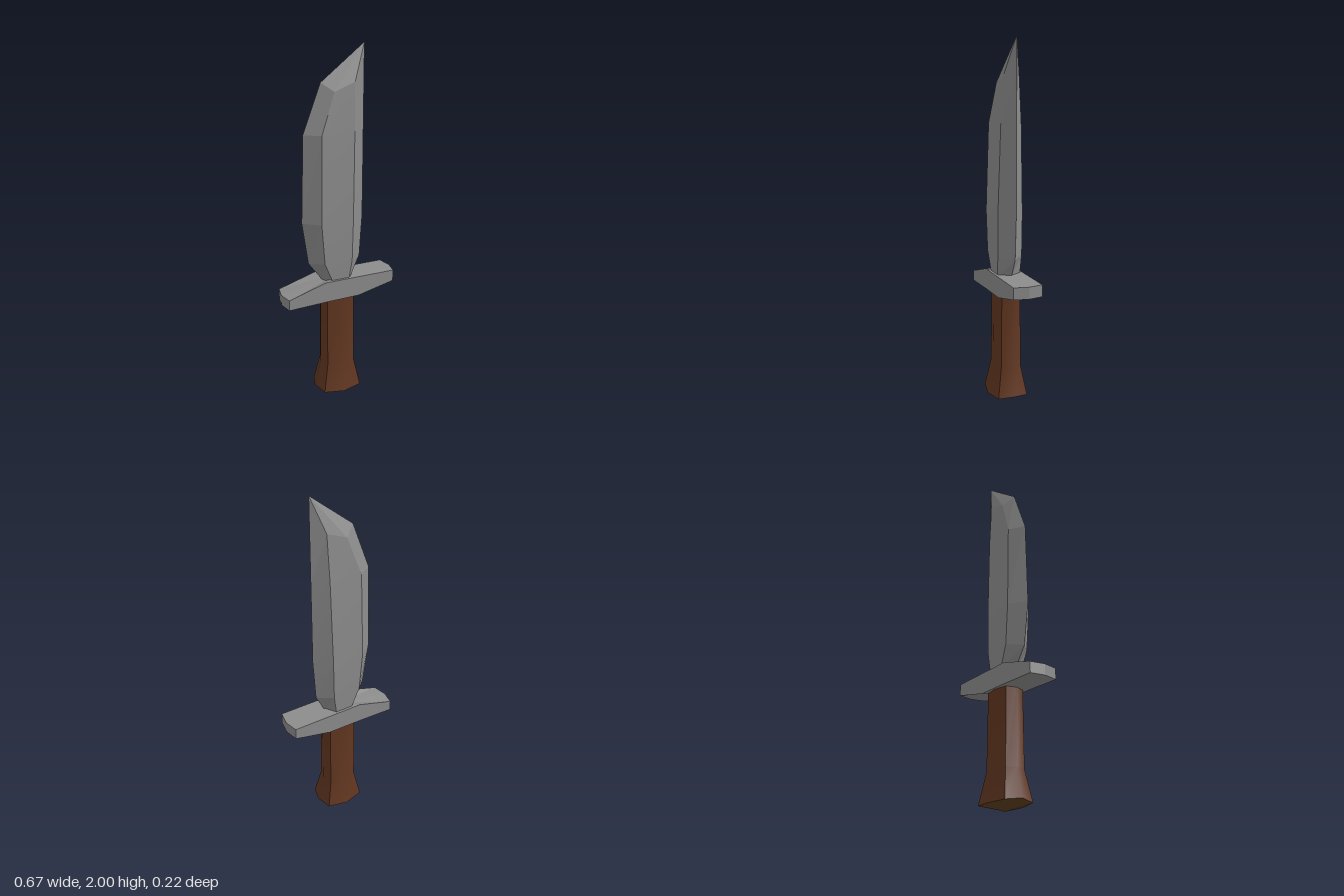
import * as THREE from 'three';
import { toCreasedNormals } from 'three/addons/utils/BufferGeometryUtils.js';

// Skin a stack of rings (each running from +x towards +z); caps fan from a centre point.
function loft(rings, bottom, top) {
  const pos = [];
  const n = rings[0].length;
  const tri = (a, b, c) => pos.push(...a, ...b, ...c);
  for (let r = 0; r < rings.length - 1; r++) {
    for (let i = 0; i < n; i++) {
      const j = (i + 1) % n;
      const [a, b, c, d] = [rings[r][i], rings[r][j], rings[r + 1][j], rings[r + 1][i]];
      tri(a, d, b);
      tri(d, c, b);
    }
  }
  const last = rings[rings.length - 1];
  for (let i = 0; i < n; i++) {
    const j = (i + 1) % n;
    if (bottom) tri(bottom, rings[0][i], rings[0][j]);
    if (top) tri(top, last[j], last[i]);
  }
  const geo = new THREE.BufferGeometry();
  geo.setAttribute('position', new THREE.Float32BufferAttribute(pos, 3));
  geo.computeVertexNormals();
  return geo;
}

// Octagonal grip ring; sag lowers the front and back of the rim.
function gripRing(y, rx, rz, sag = 0) {
  const ring = [];
  for (let i = 0; i < 8; i++) {
    const a = (i / 8) * Math.PI * 2;
    const diagonal = i % 2 ? 1.14 : 1;
    ring.push([
      Math.cos(a) * rx * diagonal,
      y - sag * Math.abs(Math.sin(a)),
      Math.sin(a) * rz * (i % 2 ? 1.1 : 1),
    ]);
  }
  return ring;
}

export function createModel() {
  const model = new THREE.Group();
  const steel = new THREE.MeshStandardMaterial({ color: 0x8c8c8c });
  steel.name = 'steel';
  const wood = new THREE.MeshStandardMaterial({ color: 0x613620 });
  wood.name = 'wood';
  const darkWood = new THREE.MeshStandardMaterial({ color: 0x5e3f1c });
  darkWood.name = 'pommel wood';

  const add = (name, geo, mat) => {
    const mesh = new THREE.Mesh(geo, mat);
    mesh.name = name;
    model.add(mesh);
  };

  // Blade: edge, ridge, ridge, spine as [x, y], plus the ridge half thickness
  const sections = [
    [[-0.09, 0.72], [-0.05, 0.72], [0.045, 0.72], [0.085, 0.72], 0.066],
    [[-0.17, 0.83], [-0.1, 0.84], [0.063, 0.84], [0.14, 0.83], 0.07],
    [[-0.205, 1.07], [-0.118, 1.07], [0.068, 1.07], [0.155, 1.07], 0.071],
    [[-0.19, 1.55], [-0.108, 1.55], [0.078, 1.55], [0.155, 1.55], 0.058],
    [[-0.09, 1.81], [-0.03, 1.765], [0.085, 1.81], [0.155, 1.81], 0.042],
  ];
  const bladeRings = sections.map(([edge, ridgeA, ridgeB, spine, t]) => [
    [...spine, 0], [...ridgeB, t], [...ridgeA, t],
    [...edge, 0], [...ridgeA, -t], [...ridgeB, -t],
  ]);
  const tip = [0.155, 2, 0];
  add('blade', toCreasedNormals(loft(bladeRings, [0, 0.72, 0], tip), 0.05), steel);

  // Guard: skewed bar with pointed ends
  const guardRing = (ys) => {
    const [left, innerLeft, innerRight, right] = ys;
    const w = 0.081;
    return [
      [0.333, right, 0], [0.317, right, w], [0.1, innerRight, w], [-0.1, innerLeft, w],
      [-0.317, left, w], [-0.333, left, 0], [-0.317, left, -w],
      [-0.1, innerLeft, -w], [0.1, innerRight, -w], [0.317, right, -w],
    ];
  };
  const guard = loft(
    [guardRing([0.61, 0.617, 0.62, 0.67]), guardRing([0.67, 0.735, 0.735, 0.735])],
    [0, 0.6185, 0], [0, 0.735, 0]
  );
  add('guard', toCreasedNormals(guard, 0.05), steel);

  // Handle: straight grip flaring at the foot
  const rim = gripRing(0.045, 0.14, 0.11, 0.015);
  const handle = loft([rim, gripRing(0.2, 0.102, 0.075), gripRing(0.63, 0.1, 0.069)]);
  add('handle', toCreasedNormals(handle, 1), wood);

  // Pommel: shallow pointed underside
  add('pommel', loft([rim], [0, 0, 0]), darkWood);

  return model;
}
